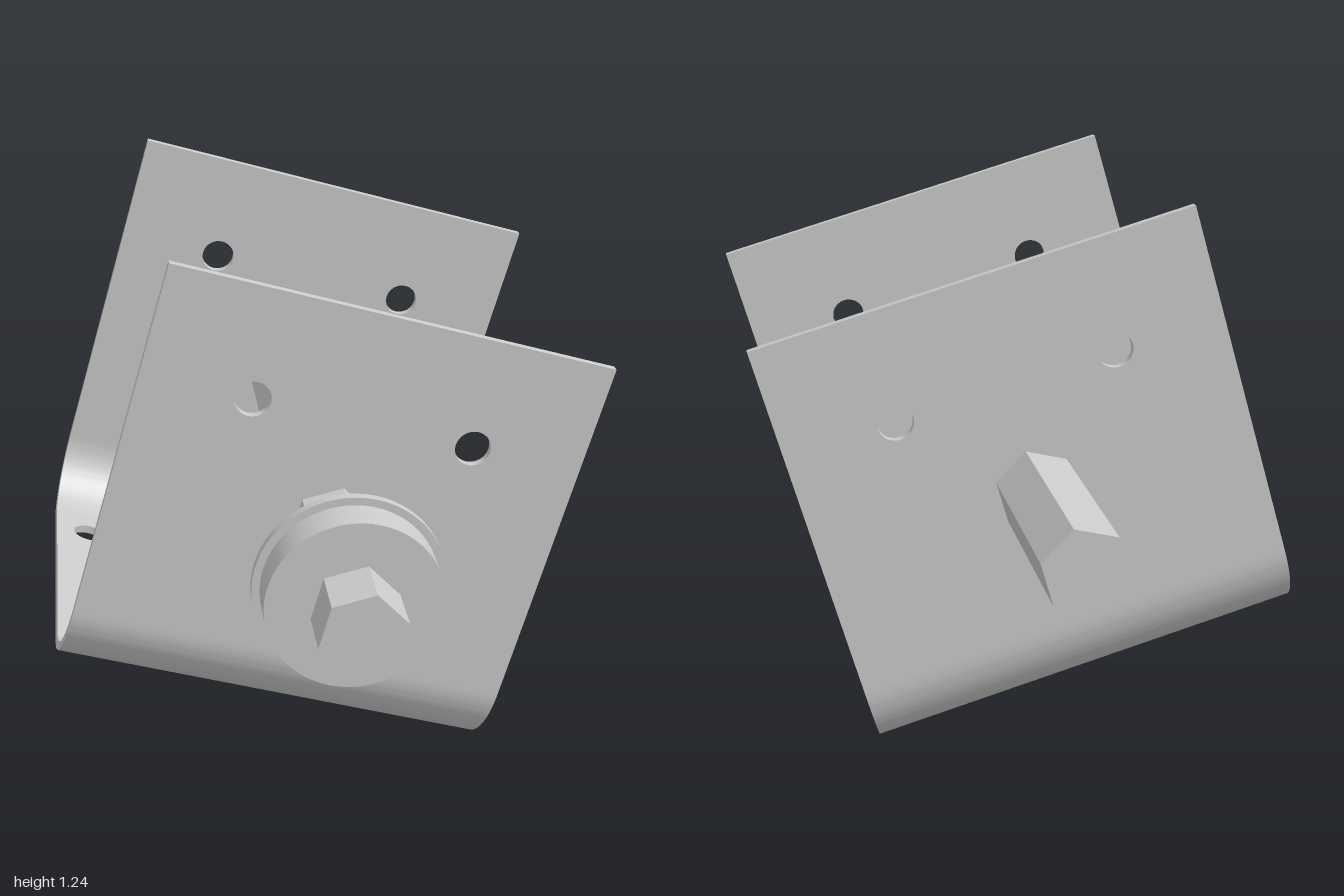
import * as THREE from 'three';
import { toCreasedNormals } from 'three/addons/utils/BufferGeometryUtils.js';

const TILT = -0.283; // the whole assembly leans about the shaft axis
const H = 0.5;       // half width and half height of the bracket
const W = 0.5;       // half depth of the bracket
const T = 0.02;      // sheet thickness
const R = 0.17;      // outer bend radius

const material = new THREE.MeshStandardMaterial({ color: 0xcccccc });
const flatMaterial = new THREE.MeshStandardMaterial({ color: 0xcccccc, flatShading: true });

function addMesh(parent, name, geometry, mat = material) {
  const mesh = new THREE.Mesh(geometry, mat);
  mesh.name = name;
  parent.add(mesh);
  return mesh;
}

function extrude(shape, depth) {
  const geometry = new THREE.ExtrudeGeometry(shape, { depth, bevelEnabled: false, curveSegments: 16 });
  return toCreasedNormals(geometry, 0.6);
}

// Rectangular sheet with round holes given as [x, y, radius]
function plate(x0, y0, x1, y1, holes) {
  const shape = new THREE.Shape();
  shape.moveTo(x0, y0).lineTo(x1, y0).lineTo(x1, y1).lineTo(x0, y1).closePath();
  for (const [x, y, r] of holes) {
    shape.holes.push(new THREE.Path().absarc(x, y, r, 0, Math.PI * 2, true));
  }
  return extrude(shape, T);
}

// Upright wall and the quarter bend that joins it to the base
function bracketSide(name) {
  const side = new THREE.Group();
  side.name = name;
  const wall = plate(-H, -H + R, H, H, [[-0.25, 0.25, 0.04], [0.25, 0.25, 0.04]]);
  addMesh(side, 'wall', wall.translate(0, 0, W - T));

  const profile = new THREE.Shape();
  profile.absarc(0, 0, R, -Math.PI / 2, 0, false);
  profile.absarc(0, 0, R - T, 0, -Math.PI / 2, true);
  profile.closePath();
  const bend = extrude(profile, 2 * H).translate(W - R, -H + R, -H);
  addMesh(side, 'bend', bend.rotateY(-Math.PI / 2));
  return side;
}

export function createModel() {
  const model = new THREE.Group();
  model.name = 'bracketWithShaft';
  const assembly = new THREE.Group();
  assembly.name = 'assembly';
  assembly.position.y = 0.62;
  assembly.rotation.z = TILT;
  model.add(assembly);

  // U-shaped sheet bracket
  const bracket = new THREE.Group();
  bracket.name = 'bracket';
  assembly.add(bracket);
  const holes = [[0, 0, 0.105]];
  for (const sx of [-1, 1]) {
    for (const sz of [-1, 1]) {
      holes.push([sx * 0.415, sz * 0.235, 0.04], [sx * 0.206, sz * 0.203, 0.027]);
    }
  }
  const base = plate(-H, -(W - R), H, W - R, holes).rotateX(-Math.PI / 2);
  addMesh(bracket, 'base', base.translate(0, -H, 0));
  bracket.add(bracketSide('frontSide'));
  const back = bracketSide('backSide');
  back.rotation.y = Math.PI;
  bracket.add(back);

  // Hexagonal shaft through both walls
  const shaft = new THREE.CylinderGeometry(0.094, 0.094, 2, 6).rotateX(Math.PI / 2);
  addMesh(assembly, 'hexShaft', shaft, flatMaterial);

  // Flanged bearing near the front end of the shaft
  const bearing = new THREE.Group();
  bearing.name = 'bearing';
  assembly.add(bearing);
  const disc = (r, z0, z1) =>
    new THREE.CylinderGeometry(r, r, z1 - z0, 64).rotateX(Math.PI / 2).translate(0, 0, (z0 + z1) / 2);
  addMesh(bearing, 'bearingFlange', disc(0.204, 0.77, 0.79));
  addMesh(bearing, 'bearingBody', disc(0.187, 0.78, 0.875));

  return model;
}
